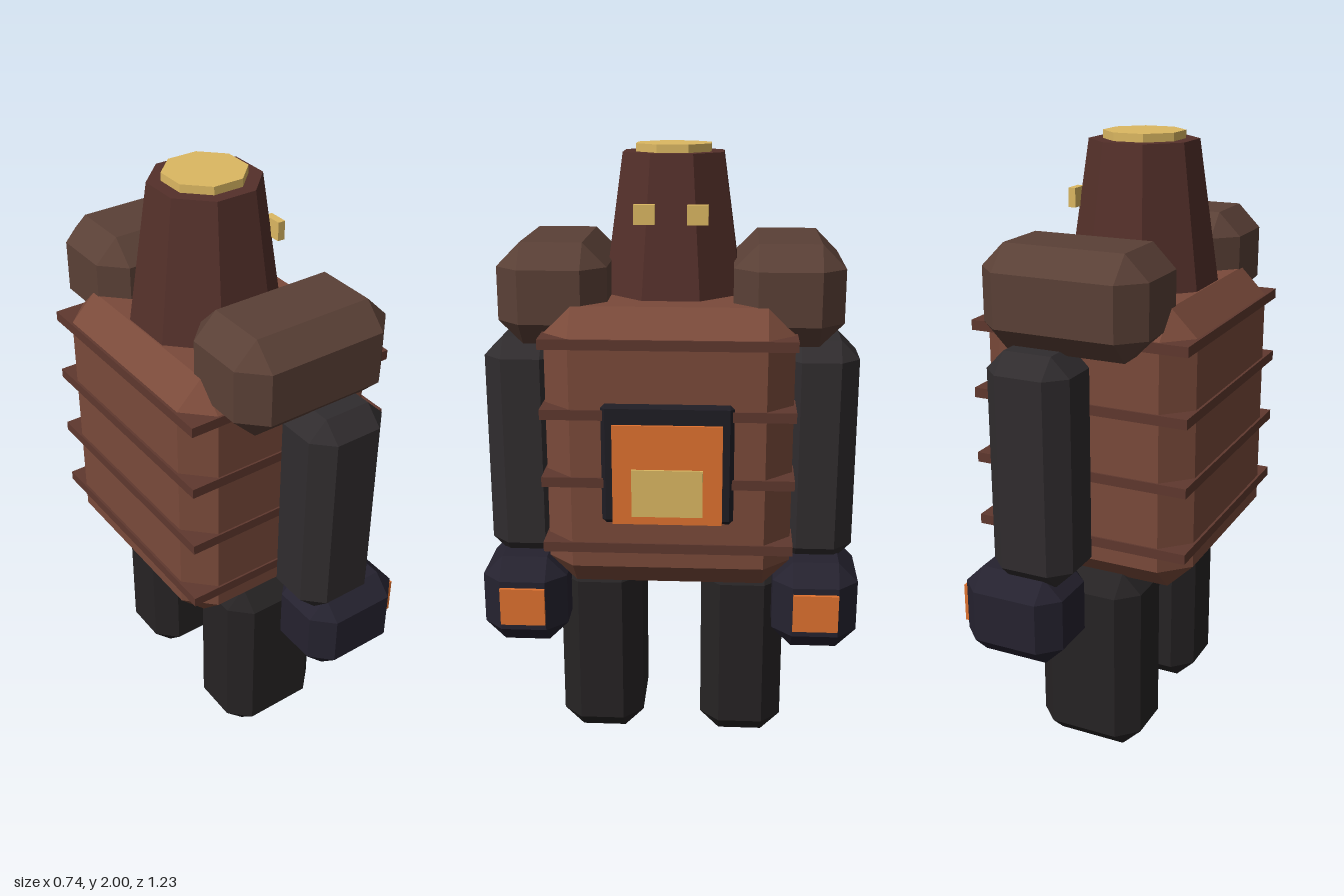
import * as THREE from 'three';
import { ConvexGeometry } from 'three/addons/geometries/ConvexGeometry.js';

const paint = (color) => new THREE.MeshStandardMaterial({ color, flatShading: true });
const mats = {
  body: paint(0x7a4a3a), band: paint(0x5f382e), head: paint(0x54302a), shoulder: paint(0x5a4036),
  arm: paint(0x302c2e), leg: paint(0x262324), hand: paint(0x25222f), frame: paint(0x1f1d24),
  glow: paint(0xe0722f), pale: paint(0xdcb862),
};

// Box with every edge and corner cut flat by c
function chamferBox(w, h, d, c) {
  const pts = [];
  for (const x of [-1, 1]) for (const y of [-1, 1]) for (const z of [-1, 1]) {
    for (let full = 0; full < 3; full++) {
      const inset = [c, c, c];
      inset[full] = 0;
      pts.push(new THREE.Vector3(x * (w / 2 - inset[0]), y * (h / 2 - inset[1]), z * (d / 2 - inset[2])));
    }
  }
  return new ConvexGeometry(pts);
}

// Upright octagonal prism or cone with flats along the axes, sized by half-width
function octagon(top, bottom, height) {
  const k = Math.cos(Math.PI / 8);
  return new THREE.CylinderGeometry(top / k, bottom / k, height, 8).rotateY(Math.PI / 8);
}

export function createModel() {
  const model = new THREE.Group();
  const add = (name, geometry, mat, x, y, z) => {
    const mesh = new THREE.Mesh(geometry, mats[mat]);
    mesh.name = name;
    mesh.position.set(x, y, z);
    model.add(mesh);
  };
  // Block given by its extents along each axis; c > 0 chamfers it
  const block = (name, mat, [x0, x1], [y0, y1], [z0, z1], c = 0) => {
    const w = x1 - x0, h = y1 - y0, d = z1 - z0;
    const geometry = c ? chamferBox(w, h, d, c) : new THREE.BoxGeometry(w, h, d);
    add(name, geometry, mat, (x0 + x1) / 2, (y0 + y1) / 2, (z0 + z1) / 2);
  };

  // Torso with square-cornered bands
  block('torso', 'body', [-0.365, 0.34], [0.63, 1.535], [-0.387, 0.387], 0.085);
  for (const y of [0.781, 0.998, 1.216, 1.435]) {
    block('torsoBand', 'band', [-0.373, 0.346], [y - 0.016, y + 0.016], [-0.393, 0.393]);
  }

  // Furnace door on the chest
  block('furnaceFrame', 'frame', [0.295, 0.353], [0.865, 1.255], [-0.207, 0.207], 0.015);
  block('furnaceGlow', 'glow', [0.33, 0.363], [0.87, 1.19], [-0.17, 0.17]);
  block('furnaceCore', 'pale', [0.34, 0.371], [0.898, 1.05], [-0.11, 0.11]);

  // Tapered head with a bright cap
  add('head', octagon(0.158, 0.222, 0.465), 'head', -0.057, 1.7425, 0);
  add('headCap', octagon(0.118, 0.118, 0.04), 'pale', -0.057, 1.98, 0);

  // Mirrored eyes and limbs
  for (const s of [1, -1]) {
    const side = (a, b) => (s > 0 ? [a, b] : [-b, -a]);
    block('eye', 'pale', [0.125, 0.149], [1.767, 1.827], side(0.05, 0.115));
    block('shoulder', 'shoulder', [-0.282, 0.256], [1.4, 1.717], side(0.195, 0.538), 0.075);
    block('arm', 'arm', [-0.066, 0.21], [0.675, 1.415], side(0.35, 0.594), 0.06);
    block('hand', 'hand', [-0.034, 0.31], [0.405, 0.702], side(0.337, 0.613), 0.064);
    block('handGlow', 'glow', [0.29, 0.322], [0.491, 0.617], side(0.402, 0.548));
    block('leg', 'leg', [-0.193, 0.168], [0, 0.645], side(0.1, 0.378), 0.065);
  }
  return model;
}
